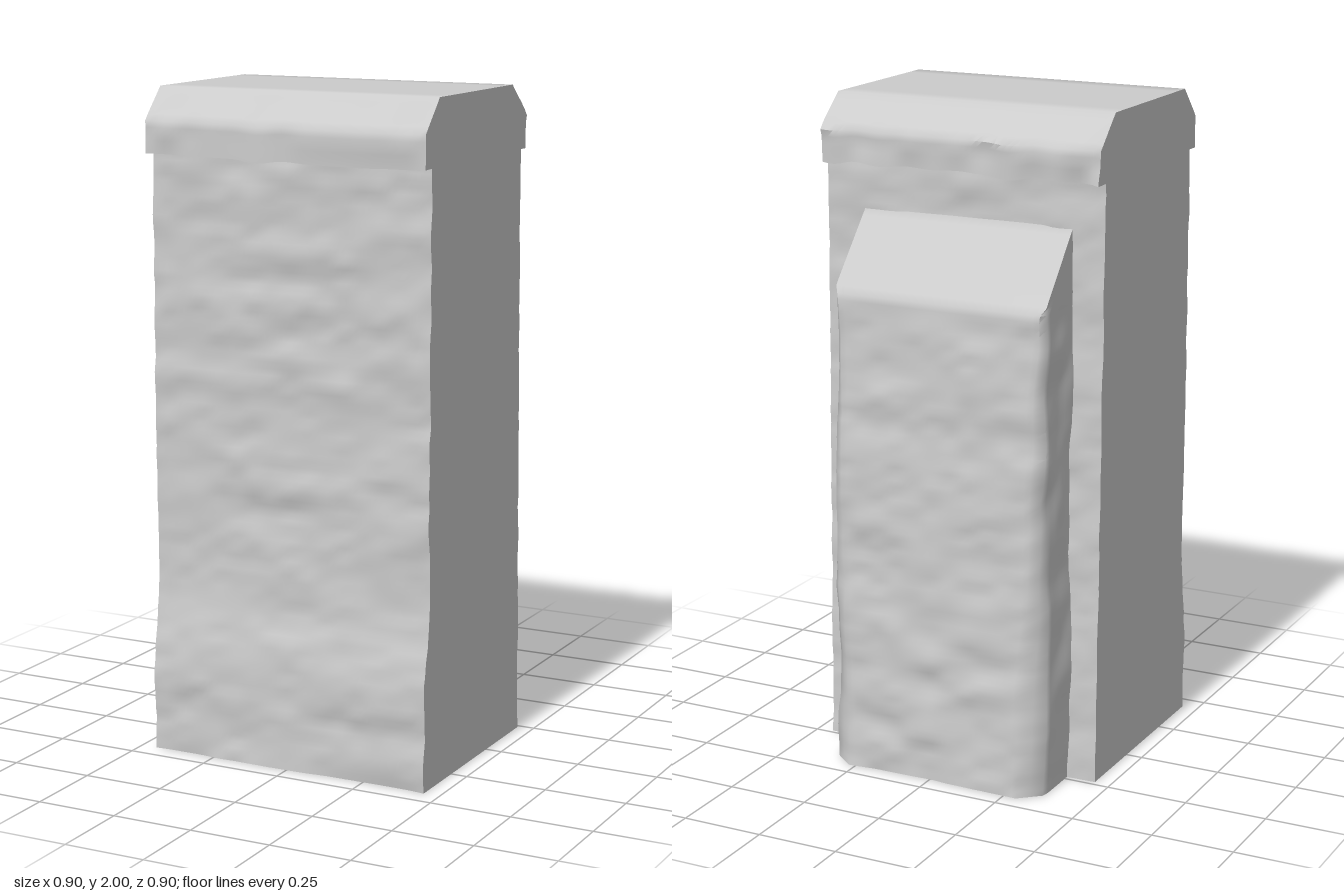
import * as THREE from 'three';
import { toCreasedNormals } from 'three/addons/utils/BufferGeometryUtils.js';

const { lerp, smoothstep, clamp } = THREE.MathUtils;

// Smooth value noise in -1..1
const hash = (i, j) => {
  const s = Math.sin(i * 127.1 + j * 311.7) * 43758.5453;
  return (s - Math.floor(s)) * 2 - 1;
};
function noise(u, v) {
  const i = Math.floor(u), j = Math.floor(v);
  const a = smoothstep(u - i, 0, 1), b = smoothstep(v - j, 0, 1);
  return lerp(lerp(hash(i, j), hash(i + 1, j), a), lerp(hash(i, j + 1), hash(i + 1, j + 1), a), b);
}

// Weathered masonry: wide flat stones plus finer chips
const stone = (x, y, seed) =>
  0.7 * noise(x * 6 + seed, y * 13 + seed) + 0.3 * noise(x * 17 + seed, y * 31);

// Subdivided unit box whose vertices are placed by rule(x, y, z), x and z in -1..1, y in 0..1
function roughBlock(name, segments, rule) {
  const geo = new THREE.BoxGeometry(2, 1, 2, ...segments);
  const p = geo.attributes.position;
  for (let i = 0; i < p.count; i++) {
    p.setXYZ(i, ...rule(p.getX(i), p.getY(i) + 0.5, p.getZ(i)));
  }
  const mesh = new THREE.Mesh(
    toCreasedNormals(geo, 0.95),
    new THREE.MeshStandardMaterial({ color: 0xcccccc })
  );
  mesh.name = name;
  return mesh;
}

export function createModel() {
  const group = new THREE.Group();
  group.name = 'buttressedWall';

  // Wall: flat ends, rough front and back, front foot flares out
  group.add(roughBlock('wall', [44, 90, 1], (u, v, w) => {
    const x = u * 0.45, y = v * 1.83;
    const front = 0.41 + 0.03 * (1 - smoothstep(y, 0.25, 0.55)) + 0.01 * stone(x, y, 3);
    const back = -lerp(0.235, 0.205, clamp(y / 1.65, 0, 1)) + 0.008 * stone(x, y, 41);
    return [x, y, w > 0 ? front : back];
  }));

  // Coping: overhanging slab with both top edges chamfered
  group.add(roughBlock('coping', [44, 10, 8], (u, v, w) => {
    const x = u * 0.45;
    const bevel = clamp((v - 0.5) / 0.5, 0, 1);
    const chip = (1 - bevel) * noise(x * 13 + (w > 0 ? 5 : 60), v * 3);
    const front = 0.447 - 0.087 * bevel + 0.005 * chip;
    const back = -0.248 + 0.108 * bevel + 0.009 * chip;
    const y = lerp(1.805 + 0.009 * noise(x * 12, w * 2 + 20), 1.998, v);
    return [x, y, lerp(back, front, (w + 1) / 2)];
  }));

  // Buttress: battered back, sloping top and worn outer corners
  group.add(roughBlock('buttress', [34, 84, 10], (u, v, w) => {
    const y = v * 1.67;
    const outer = y < 1.45
      ? lerp(0.445, 0.4, y / 1.45)
      : lerp(0.4, 0.205, (y - 1.45) / 0.22);
    const depth = lerp(0.19, outer, (1 - w) / 2);
    const rough = 1 - smoothstep(y, 1.35, 1.5);
    const half = lerp(0.352, 0.338, v) - 1.3 * Math.max(0, depth - 0.39);
    const side = 0.008 * u * rough * noise(y * 9, depth * 12 + u * 0.5 + 8);
    const x = -0.012 + u * half + side;
    const face = w < 0 ? -w * rough * 0.01 * stone(x, y, 77) : 0;
    return [x, y, -depth + face];
  }));

  return group;
}
